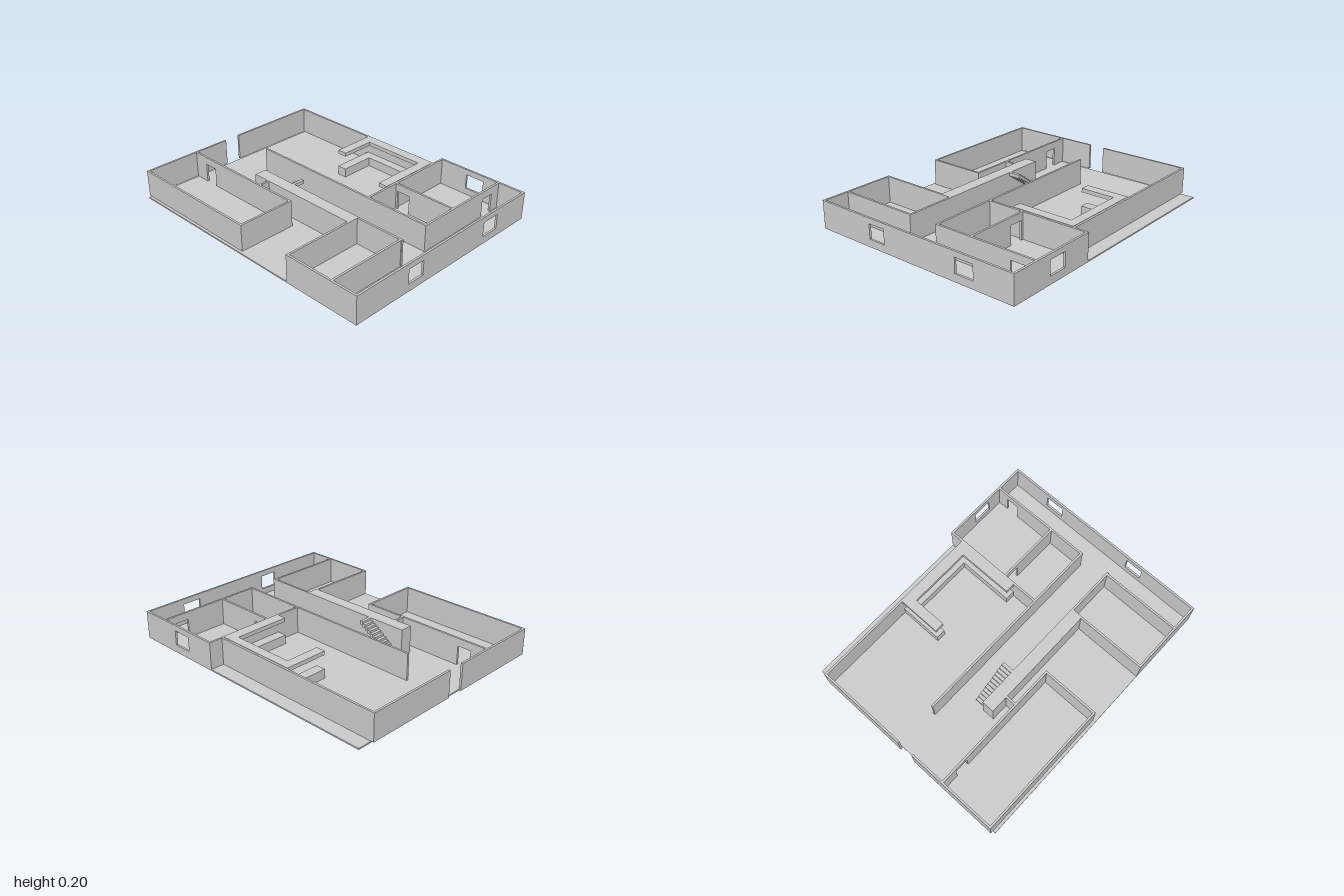
import * as THREE from 'three';

const FLOOR = 0.01, TOP = 0.2;

export function createModel() {
  const model = new THREE.Group();
  const material = new THREE.MeshStandardMaterial({ color: 0xcccccc, flatShading: true });

  // Box between two corners
  function block(name, x0, x1, y0, y1, z0, z1, parent = model) {
    const mesh = new THREE.Mesh(new THREE.BoxGeometry(x1 - x0, y1 - y0, z1 - z0), material);
    mesh.position.set((x0 + x1) / 2, (y0 + y1) / 2, (z0 + z1) / 2);
    mesh.name = name;
    parent.add(mesh);
  }

  // Wall along its longer side, with an optional opening [start, end, bottom, top]
  function wall(name, x0, x1, z0, z1, openings = []) {
    const group = new THREE.Group();
    group.name = name;
    const alongX = x1 - x0 > z1 - z0;
    const piece = (a, b, y0, y1) => {
      if (b - a < 1e-4 || y1 - y0 < 1e-4) return;
      if (alongX) block('wallPiece', a, b, y0, y1, z0, z1, group);
      else block('wallPiece', x0, x1, y0, y1, a, b, group);
    };
    let start = alongX ? x0 : z0;
    for (const [a, b, low, high] of openings) {
      piece(start, a, FLOOR, TOP);
      piece(a, b, FLOOR, low);
      piece(a, b, high, TOP);
      start = b;
    }
    piece(start, alongX ? x1 : z1, FLOOR, TOP);
    model.add(group);
  }
  const windowAt = (a, b) => [a, b, 0.055, 0.16];
  const doorAt = (a, b) => [a, b, FLOOR, 0.145];

  block('floor', -0.98, 1, 0, FLOOR, -0.8, 0.8);

  // Outer walls
  wall('eastWall', 0.985, 1, -0.8, 0.8, [windowAt(-0.5, -0.36), windowAt(0.23, 0.36)]);
  wall('northEastWall', 0.31, 0.985, -0.8, -0.785, [windowAt(0.54, 0.68)]);
  wall('northWestWall', -1, 0.31, -0.7, -0.685);
  wall('westWallNorth', -1, -0.985, -0.685, -0.02);
  wall('westWallSouth', -1, -0.985, 0.1, 0.78);
  wall('southWestWall', -0.985, 0, 0.765, 0.78);
  wall('southEastWall', 0.43, 0.985, 0.785, 0.8);

  // North-east rooms
  wall('kitchenSideWall', 0.31, 0.325, -0.785, -0.035);
  wall('northCorridorWall', -0.68, 0.805, -0.035, -0.02);
  wall('northPassageWall', 0.79, 0.805, -0.785, -0.035, [doorAt(-0.71, -0.61)]);
  wall('roomDivider', 0.325, 0.79, -0.31, -0.295, [doorAt(0.34, 0.44)]);

  // South-west room
  wall('southWestRoomNorthWall', -0.985, 0, 0.355, 0.37, [doorAt(-0.875, -0.775)]);
  wall('southWestRoomEastWall', -0.015, 0, 0.37, 0.765);

  // Southern corridor and south-east room
  wall('thickCorridorWall', -0.44, 0.43, 0.195, 0.285);
  wall('shortLinkWall', -0.315, -0.3, 0.285, 0.355);
  wall('southCorridorWall', 0.43, 0.81, 0.195, 0.21);
  wall('southEastRoomWestWall', 0.43, 0.445, 0.21, 0.785);
  wall('southPassageWall', 0.79, 0.805, 0.21, 0.785);

  // Kitchen: low counter and matching high shelf, both U-shaped
  for (const [name, y0, y1] of [['counter', FLOOR, 0.075], ['highShelf', 0.175, 0.203]]) {
    const kitchen = new THREE.Group();
    kitchen.name = name;
    block('westArm', -0.29, -0.22, y0, y1, -0.685, -0.37, kitchen);
    block('backRun', -0.22, 0.24, y0, y1, -0.685, -0.62, kitchen);
    block('eastArm', 0.24, 0.31, y0, y1, -0.685, -0.215, kitchen);
    model.add(kitchen);
  }

  // Open staircase rising towards +x
  const stairs = new THREE.Group();
  stairs.name = 'stairs';
  const steps = 12, run = 0.275 / steps, rise = (TOP - FLOOR) / steps;
  for (let i = 0; i < steps; i++) {
    const x = -0.42 + i * run, y = FLOOR + i * rise;
    block('step', x, x + run, Math.max(FLOOR, y - rise * 0.6), y + rise, 0.11, 0.195, stairs);
  }
  model.add(stairs);

  return model;
}
